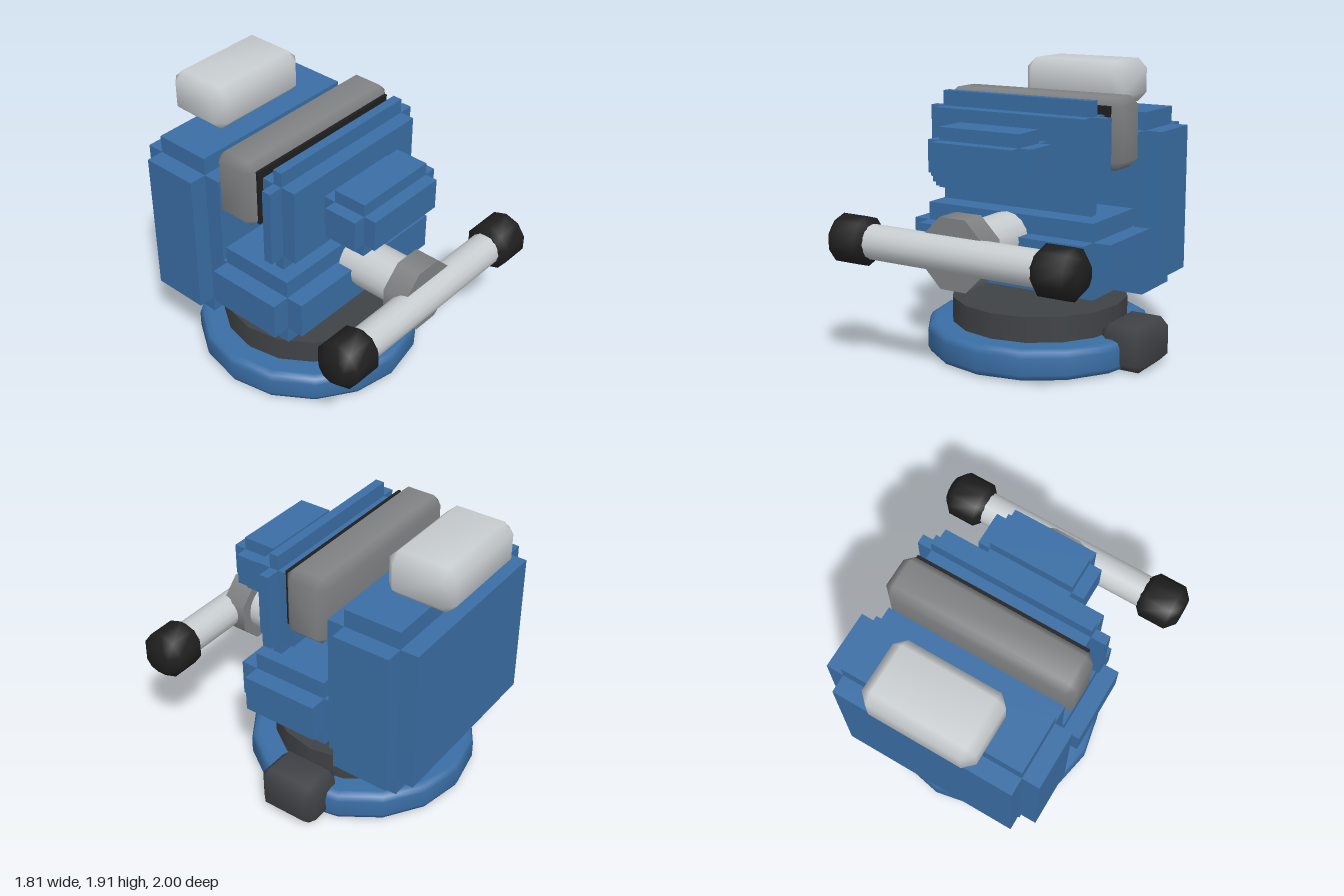
import * as THREE from 'three';
import { mergeVertices } from 'three/addons/utils/BufferGeometryUtils.js';
import { ConvexGeometry } from 'three/addons/geometries/ConvexGeometry.js';

const paint = (name, color) => {
  const m = new THREE.MeshStandardMaterial({ color });
  m.name = name;
  return m;
};

export function createModel() {
  const blue = paint('blue paint', 0x3a6ea5);
  const steel = paint('light steel', 0xc8cdd0);
  const grey = paint('mid grey', 0x808284);
  const dark = paint('dark iron', 0x404346);
  const black = paint('black', 0x1f1f1f);

  const model = new THREE.Group();
  model.name = 'benchVise';

  const add = (name, geometry, material, x, y, z, parent = model) => {
    const mesh = new THREE.Mesh(geometry, material);
    mesh.name = name;
    mesh.position.set(x, y, z);
    parent.add(mesh);
    return mesh;
  };

  // Three crossed boxes that give a block stepped edges (half sizes and step)
  const steppedBlock = (name, [x, y, z], half, step) => {
    const group = new THREE.Group();
    group.name = name;
    for (let axis = 0; axis < 3; axis++) {
      const size = half.map((h, i) => 2 * (i === axis ? h : h - step));
      add(name + 'XYZ'[axis], new THREE.BoxGeometry(...size), blue, x, y, z, group);
    }
    model.add(group);
  };

  // Box with one smooth-shaded chamfer on every edge (half sizes and chamfer)
  const chamferBox = (half, c) => {
    const points = [];
    for (let axis = 0; axis < 3; axis++)
      for (const sx of [-1, 1]) for (const sy of [-1, 1]) for (const sz of [-1, 1]) {
        const p = half.map((h, i) => (i === axis ? h : h - c));
        points.push(new THREE.Vector3(sx * p[0], sy * p[1], sz * p[2]));
      }
    const geometry = new ConvexGeometry(points);
    geometry.deleteAttribute('normal');
    const merged = mergeVertices(geometry, 1e-4);
    merged.computeVertexNormals();
    return merged;
  };

  const lathe = (profile, sides) => {
    const g = new THREE.LatheGeometry(profile.map(([r, y]) => new THREE.Vector2(r, y)), sides);
    g.normalizeNormals();
    return g;
  };

  // Swivel base, collar and side lock
  add('base', lathe([[0, 0], [0.71, 0], [0.748, 0.015], [0.765, 0.05], [0.765, 0.16],
    [0.748, 0.195], [0.71, 0.21], [0, 0.21]], 16), blue, 0, 0, -0.15);
  add('collar', new THREE.CylinderGeometry(0.595, 0.595, 0.2, 16), dark, 0, 0.28, -0.15);
  add('swivelLock', chamferBox([0.16, 0.15, 0.21], 0.055), dark, 0.727, 0.15, -0.155);

  // Painted body castings
  steppedBlock('rearBody', [0, 0.995, -0.638], [0.745, 0.615, 0.316], 0.12);
  steppedBlock('lowerBody', [0, 0.755, -0.025], [0.745, 0.245, 0.385], 0.12);
  steppedBlock('frontJaw', [0, 1.38, 0.12], [0.66, 0.36, 0.132], 0.1);
  steppedBlock('frontBoss', [0, 1.38, 0.455], [0.38, 0.19, 0.2], 0.085);

  // Jaw insert with its dark gripping strip, and the anvil on top
  add('jawInsert', chamferBox([0.66, 0.23, 0.152], 0.055), grey, 0, 1.51, -0.168);
  add('gripStrip', new THREE.BoxGeometry(1.2, 0.38, 0.02), black, 0, 1.505, -0.01);
  add('anvil', chamferBox([0.38, 0.15, 0.23], 0.065), steel, 0, 1.762, -0.77);

  // Lead screw and octagonal hub
  add('screw', new THREE.CylinderGeometry(0.16, 0.16, 0.48, 16), steel, 0, 0.85, 0.495)
    .rotation.x = Math.PI / 2;
  const hub = new THREE.CylinderGeometry(0.243, 0.243, 0.17, 8);
  hub.rotateY(Math.PI / 8);
  add('hub', hub, grey, 0, 0.85, 0.765).rotation.x = Math.PI / 2;

  // Handle bar with a knob at each end
  add('handleBar', new THREE.CylinderGeometry(0.113, 0.113, 1.5, 16), steel, 0, 0.852, 0.845)
    .rotation.z = Math.PI / 2;
  const knob = lathe([[0, -0.155], [0.095, -0.155], [0.161, -0.095],
    [0.161, 0.095], [0.095, 0.155], [0, 0.155]], 10);
  knob.rotateY(Math.PI / 2);
  knob.rotateZ(Math.PI / 2);
  for (const side of [-1, 1])
    add(side > 0 ? 'leftKnob' : 'rightKnob', knob, black, side * 0.75, 0.85, 0.845);

  return model;
}
